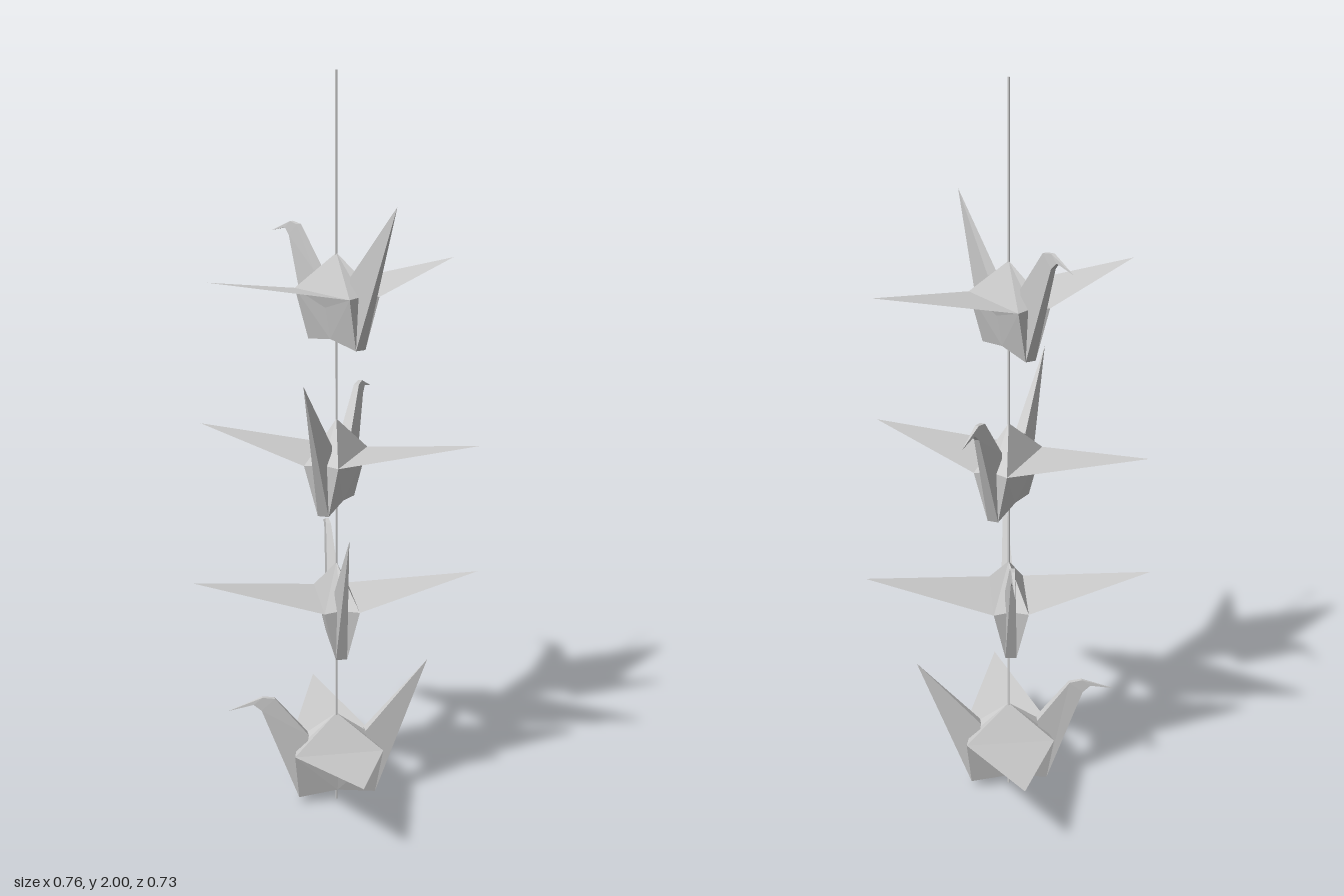
import * as THREE from 'three';

const paper = new THREE.MeshStandardMaterial({ color: 0xcccccc, flatShading: true, side: THREE.DoubleSide });

// Flat-shaded sheet from a list of polygons, each fanned into triangles
function sheet(name, polygons) {
  const pos = [];
  for (const p of polygons)
    for (let i = 1; i < p.length - 1; i++) pos.push(...p[0], ...p[i], ...p[i + 1]);
  const geo = new THREE.BufferGeometry();
  geo.setAttribute('position', new THREE.Float32BufferAttribute(pos, 3));
  geo.computeVertexNormals();
  const mesh = new THREE.Mesh(geo, paper);
  mesh.name = name;
  return mesh;
}

// Slim folded limb: each section is [outer point, inner point, half thickness]
function limb(name, sections) {
  const rings = sections.map(([o, i, t]) => [[...o, t], [...i, t], [...i, -t], [...o, -t]]);
  const faces = [];
  for (let s = 0; s < rings.length - 1; s++)
    for (let k = 0; k < 4; k++) {
      const n = (k + 1) % 4;
      faces.push([rings[s][k], rings[s][n], rings[s + 1][n], rings[s + 1][k]]);
    }
  return sheet(name, faces);
}

// Folded paper crane: head towards +x, wings along z, feet on y = 0
function crane() {
  const g = new THREE.Group();
  const peak = [0, 0.24, 0];
  const corner = (a, s) => [a * 0.124, 0.137, s * 0.047];
  const foot = (a, s) => [a * 0.108, 0, s * 0.015];
  const gully = (a) => [a * 0.112, 0.14, 0];

  const roof = [], sides = [];
  for (const s of [1, -1]) {
    roof.push([peak, corner(-1, s), corner(1, s)]);
    const crease = [0, 0.1, s * 0.036], notch = [0, 0.016, s * 0.02];
    for (const a of [1, -1]) {
      roof.push([peak, corner(a, s), gully(a)]);
      sides.push([corner(a, s), foot(a, s), notch, crease]);
      sides.push([corner(a, s), foot(a, s), gully(a)]);
    }
    sides.push([corner(1, s), crease, corner(-1, s)]);
    g.add(sheet(s > 0 ? 'rightWing' : 'leftWing', [[corner(-1, s), [0, 0.197, s * 0.391], corner(1, s)]]));
  }
  g.add(sheet('bodyTop', roof), sheet('bodySides', sides));

  g.add(limb('neckAndHead', [
    [[0.108, 0], [0.08, 0.185], 0.015],
    [[0.21, 0.265], [0.172, 0.297], 0.007],
    [[0.232, 0.283], [0.207, 0.302], 0.005],
    [[0.302, 0.268], [0.302, 0.268], 0],
  ]));
  g.add(limb('tail', [
    [[-0.108, 0], [-0.08, 0.185], 0.015],
    [[-0.257, 0.38], [-0.257, 0.38], 0],
  ]));
  return g;
}

export function createModel() {
  const model = new THREE.Group();
  model.name = 'hangingPaperCranes';

  // String running through all the cranes
  const string = new THREE.Mesh(new THREE.CylinderGeometry(0.003, 0.003, 2, 8), paper);
  string.name = 'string';
  string.position.y = 1;
  model.add(string);

  // Cranes from bottom to top: [height, heading in degrees]
  [[0.02, 223], [0.46, 130], [0.86, 104], [1.3, 158]].forEach(([y, deg], i) => {
    const c = crane();
    c.name = `crane${i + 1}`;
    c.position.y = y;
    c.rotation.y = THREE.MathUtils.degToRad(deg);
    model.add(c);
  });
  return model;
}
